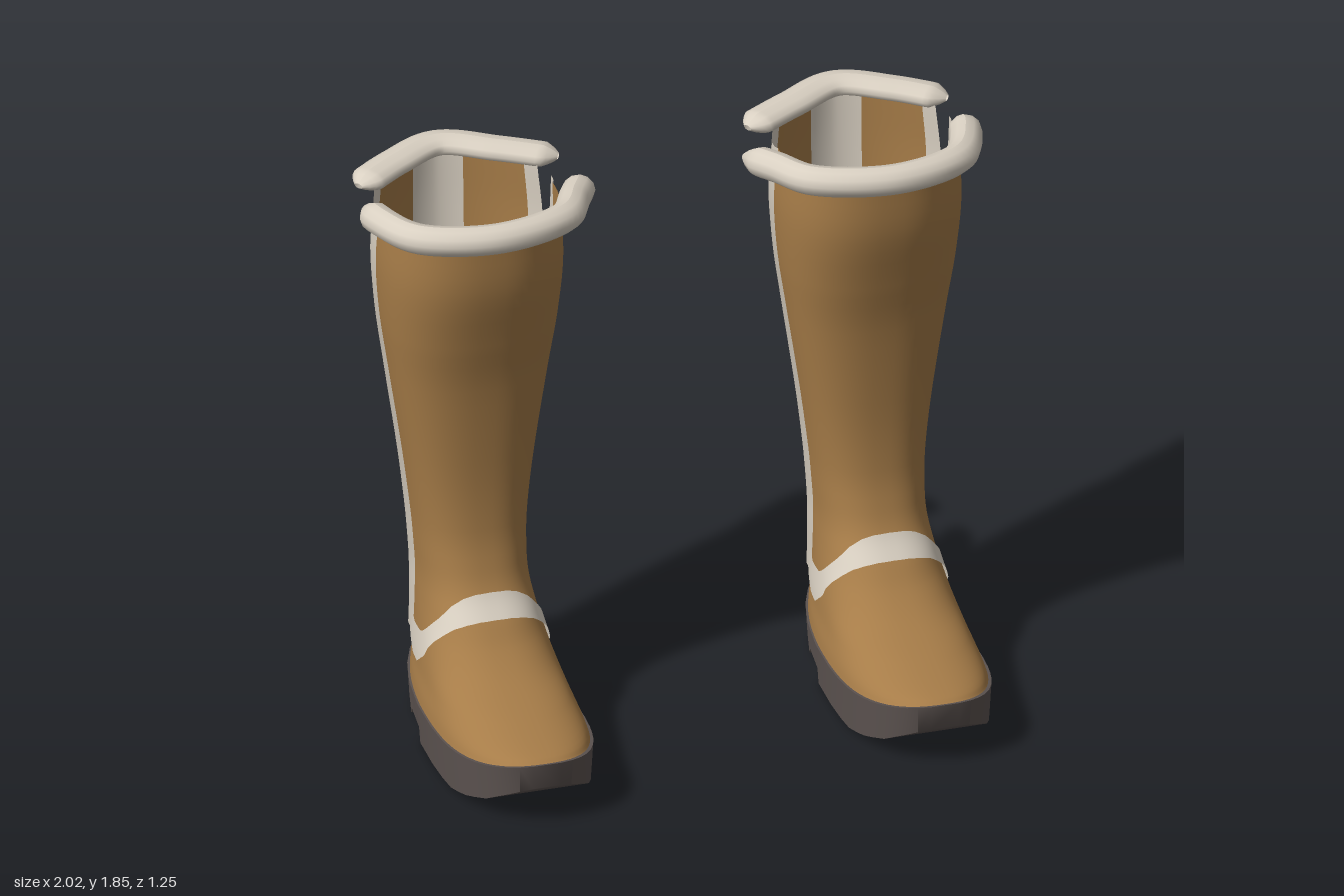
import * as THREE from 'three';
import { toCreasedNormals } from 'three/addons/utils/BufferGeometryUtils.js';

const mat = (name, color) => {
  const m = new THREE.MeshStandardMaterial({ color, side: THREE.DoubleSide });
  m.name = name;
  return m;
};

// Horizontal cross-sections from sole to cuff:
// [back y, front y, front z, back z, half width, z of widest point, front roundness, back roundness]
const ROWS = [
  [0.13, 0.22, 0.61, -0.465, 0.232, 0.13, 0.82, 0.94],
  [0.17, 0.235, 0.57, -0.467, 0.225, 0.1, 0.83, 0.95],
  [0.22, 0.262, 0.41, -0.468, 0.212, 0.05, 0.85, 0.97],
  [0.28, 0.3, 0.25, -0.47, 0.2, -0.03, 0.85, 0.98],
  [0.35, 0.36, 0.14, -0.472, 0.187, -0.1, 0.83, 1],
  [0.43, 0.43, 0.07, -0.475, 0.175, -0.17, 0.81, 1],
  [0.5, 0.5, 0.01, -0.472, 0.169, -0.21, 0.8, 1],
  [0.58, 0.58, -0.025, -0.462, 0.171, -0.23, 0.8, 1],
  [0.7, 0.7, -0.05, -0.475, 0.179, -0.24, 0.8, 1],
  [0.9, 0.9, -0.055, -0.505, 0.203, -0.24, 0.8, 1.03],
  [1.2, 1.2, -0.03, -0.54, 0.248, -0.24, 0.81, 1.07],
  [1.4, 1.4, 0.01, -0.56, 0.277, -0.24, 0.82, 1.1],
  [1.6, 1.6, 0.052, -0.573, 0.291, -0.24, 0.83, 1.14],
  [1.79, 1.79, 0.06, -0.58, 0.281, -0.24, 0.83, 1.18],
];
const TOP = ROWS.length - 1;
const rowCurve = new THREE.CubicInterpolant(ROWS.map((_, i) => i), ROWS.flat(), 8);
const ring = (v) => [...rowCurve.evaluate(THREE.MathUtils.clamp(v, 0, TOP))];
const lerp = THREE.MathUtils.lerp;

// Linear lookup in a table of [x, value, ...] rows with rising x
function look(table, x, col = 1) {
  let i = 0;
  while (i < table.length - 2 && x > table[i + 1][0]) i++;
  const [a, b] = [table[i], table[i + 1]];
  return lerp(a[col], b[col], THREE.MathUtils.clamp((x - a[0]) / (b[0] - a[0]), 0, 1));
}
const heightToRow = (y) => look(ROWS.map((r, i) => [r[0], i]), y);

// Point on the boot skin: angle 0 = side, 90 deg = front, -90 deg = back
function skin(a, v, off = 0) {
  const [yb, yf, zf, zb, w, z0, pf, pb] = ring(v);
  const c = Math.cos(a), s = Math.sin(a), p = s > 0 ? pf : pb;
  const z = z0 + ((s > 0 ? zf : zb) - z0) * Math.abs(s) ** p;
  const y = yb + (yf - yb) * ((z - zb) / (zf - zb)) ** 4;
  return new THREE.Vector3(w * Math.sign(c) * Math.abs(c) ** p + off * c, y, z + off * s);
}

// Angle at which the cross-section v reaches depth z
function angleAt(z, v) {
  const [, , zf, zb, , z0, pf, pb] = ring(v);
  const front = z > z0;
  const t = Math.min(1, (z - z0) / ((front ? zf : zb) - z0));
  return (front ? 1 : -1) * Math.asin(t ** (1 / (front ? pf : pb)));
}

// Patch of skin; map(s, t) gives [angle, row, outward offset]
function patch(map, nu, nv) {
  const pos = [], nor = [], idx = [], e = 0.03;
  for (let j = 0; j <= nv; j++) {
    for (let i = 0; i <= nu; i++) {
      const [a, v, off = 0] = map(i / nu, j / nv);
      const da = skin(a + e, v).sub(skin(a - e, v));
      const dv = skin(a, Math.min(v + e, TOP)).sub(skin(a, Math.max(v - e, 0)));
      pos.push(...skin(a, v, off).toArray());
      nor.push(...dv.cross(da).normalize().toArray());
      if (i < nu && j < nv) {
        const k = j * (nu + 1) + i, up = k + nu + 1;
        idx.push(k, up, k + 1, k + 1, up, up + 1);
      }
    }
  }
  const g = new THREE.BufferGeometry();
  g.setAttribute('position', new THREE.Float32BufferAttribute(pos, 3));
  g.setAttribute('normal', new THREE.Float32BufferAttribute(nor, 3));
  g.setIndex(idx);
  return g;
}

// Seam lines on the shaft as [height, z]; the two slit lines part near the top
const seam = (line) => (v) => angleAt(look(line, ring(v)[0]), v);
const seamFront = seam([[0.28, -0.235], [0.4, -0.24], [0.8, -0.283], [1.4, -0.293], [1.8, -0.25]]);
const slitFront = seam([[0.28, -0.27], [0.8, -0.32], [1.5, -0.342], [1.8, -0.287]]);
const slitBack = seam([[0.28, -0.27], [0.8, -0.32], [1.5, -0.342], [1.8, -0.358]]);
const seamBack = seam([[0.28, -0.295], [0.4, -0.307], [0.8, -0.365], [1.4, -0.39], [1.8, -0.4]]);
// Edge of the stripe that runs down the middle of the back
const stripeEdge = (v) => {
  const r = ring(v);
  return -Math.acos((0.082 / r[4]) ** (1 / r[7]));
};

// Ankle band as [angle, lower height, upper height]
const BAND = [
  [-90, 0.35, 0.51], [-55, 0.3, 0.47], [-27, 0.255, 0.43], [-21, 0.24, 0.365], [-12, 0.245, 0.34],
  [0, 0.285, 0.345], [10, 0.325, 0.37], [22, 0.355, 0.4], [36, 0.385, 0.435], [50, 0.412, 0.47],
  [65, 0.43, 0.495], [78, 0.438, 0.507], [90, 0.44, 0.51],
];

// Sole underside as [z, y], with a raised arch before the heel
const UNDER = [
  [-0.472, 0.05], [-0.44, 0.035], [-0.16, 0.022], [-0.145, 0.045], [-0.01, 0.05],
  [0.005, 0.004], [0.32, 0.012], [0.42, 0.035], [0.52, 0.07], [0.6, 0.12], [0.625, 0.14],
];
const SOLE_Z = [-0.472, -0.465, -0.45, -0.42, -0.36, -0.27, -0.16, -0.145, -0.01, 0.005, 0.15,
  0.25, 0.32, 0.37, 0.42, 0.47, 0.52, 0.56, 0.59, 0.61, 0.625];

function soleGeometry() {
  const pos = [], idx = [];
  SOLE_Z.forEach((z, k) => {
    const p = skin(angleAt(z * 0.975, 0), 0);
    const w = Math.max(p.x, 0.04) + 0.006, y = p.y + 0.005, b = look(UNDER, z), zb = z * 0.985;
    pos.push(w, y, z, -w, y, z, -w * 0.97, b, zb, w * 0.97, b, zb);
    if (k === 0) return;
    for (let i = 0; i < 4; i++) {
      const a = (k - 1) * 4 + i, c = (k - 1) * 4 + ((i + 1) % 4);
      idx.push(a, c, a + 4, c, c + 4, a + 4);
    }
  });
  const n = (SOLE_Z.length - 1) * 4;
  idx.push(0, 2, 1, 0, 3, 2, n, n + 1, n + 2, n, n + 2, n + 3);
  const g = new THREE.BufferGeometry();
  g.setAttribute('position', new THREE.Float32BufferAttribute(pos, 3));
  g.setIndex(idx);
  return toCreasedNormals(g, 0.9);
}

// Fleece roll along a path, pinched to a point at both ends
function rollGeometry(points, radius, flat) {
  const path = new THREE.CatmullRomCurve3(points.map((p) => new THREE.Vector3(...p)));
  const n = 48, m = 12, g = new THREE.TubeGeometry(path, n, radius, m);
  const at = g.attributes.position, v = new THREE.Vector3();
  for (let i = 0; i < at.count; i++) {
    const t = Math.floor(i / (m + 1)) / n, c = path.getPointAt(t);
    const k = Math.min(1, 0.1 + 14 * Math.min(t, 1 - t)) ** 0.6;
    v.fromBufferAttribute(at, i).sub(c).multiplyScalar(k);
    v.y *= flat;
    at.setXYZ(i, ...v.add(c).toArray());
  }
  g.computeVertexNormals();
  return g;
}

export function createModel() {
  const leather = mat('tan leather', 0xa67c48);
  const fleece = mat('cream trim', 0xd9d0c2);
  const rubber = mat('dark sole', 0x5c5350);
  const { PI } = Math;
  const row = (t) => lerp(2.95, TOP, t);
  const parts = [];
  const part = (name, geometry, material) => parts.push({ name, geometry, material });

  part('sole', soleGeometry(), rubber);
  part('foot', patch((s, t) => [-PI / 2 + s * 2 * PI, t * 3], 64, 12), leather);

  // Shaft panel between two edge lines, optionally padded
  const panel = (name, low, high, material, nu, pad = () => 0) => part(name, patch((s, t) => {
    const v = row(t);
    return [lerp(low(v), high(v), s), v, pad(s)];
  }, nu, 44), material);
  // The same panel on both sides of the boot
  const panelPair = (name, low, high, material, nu, pad = () => 0) => {
    panel(name + 'A', low, high, material, nu, pad);
    panel(name + 'B', (v) => PI - high(v), (v) => PI - low(v), material, nu, (s) => pad(1 - s));
  };
  panel('frontPanel', seamFront, (v) => PI - seamFront(v), leather, 40);
  panel('backStripe', (v) => -PI - stripeEdge(v), stripeEdge, fleece, 12);
  panelPair('rearSidePanel', stripeEdge, seamBack, leather, 10);
  // Padded trim around each side slit, fullest at the slit
  panelPair('frontSlitTrim', slitFront, seamFront, fleece, 6, (s) => 0.014 * Math.sqrt(1 - s));
  panelPair('backSlitTrim', seamBack, slitBack, fleece, 6, (s) => 0.014 * Math.sqrt(s));

  // Ankle band dipping at the sides
  part('ankleBand', patch((s, t) => {
    const a = -90 + s * 360, key = a > 90 ? 180 - a : a;
    const y = lerp(look(BAND, key, 1), look(BAND, key, 2), t);
    return [(a * PI) / 180, heightToRow(y), 0.008];
  }, 120, 6), fleece);

  // Rolled cuff in two pieces, open at the slits
  part('frontCuff', rollGeometry([
    [0.32, 1.785, -0.27], [0.3, 1.795, -0.15], [0.225, 1.805, 0], [0, 1.81, 0.075],
    [-0.24, 1.805, 0], [-0.32, 1.79, -0.14], [-0.385, 1.77, -0.265],
  ], 0.052, 0.9), fleece);
  part('backCuff', rollGeometry([
    [0.31, 1.8, -0.385], [0.16, 1.805, -0.488], [0, 1.808, -0.562], [-0.17, 1.805, -0.48], [-0.34, 1.8, -0.385],
  ], 0.06, 0.55), fleece);

  const model = new THREE.Group();
  model.name = 'pairOfBoots';
  for (const side of [1, -1]) {
    const boot = new THREE.Group();
    boot.name = side > 0 ? 'leftBoot' : 'rightBoot';
    for (const { name, geometry, material } of parts) {
      const mesh = new THREE.Mesh(geometry, material);
      mesh.name = name;
      boot.add(mesh);
    }
    boot.position.x = 0.648 * side;
    boot.scale.x = side;
    model.add(boot);
  }
  return model;
}
